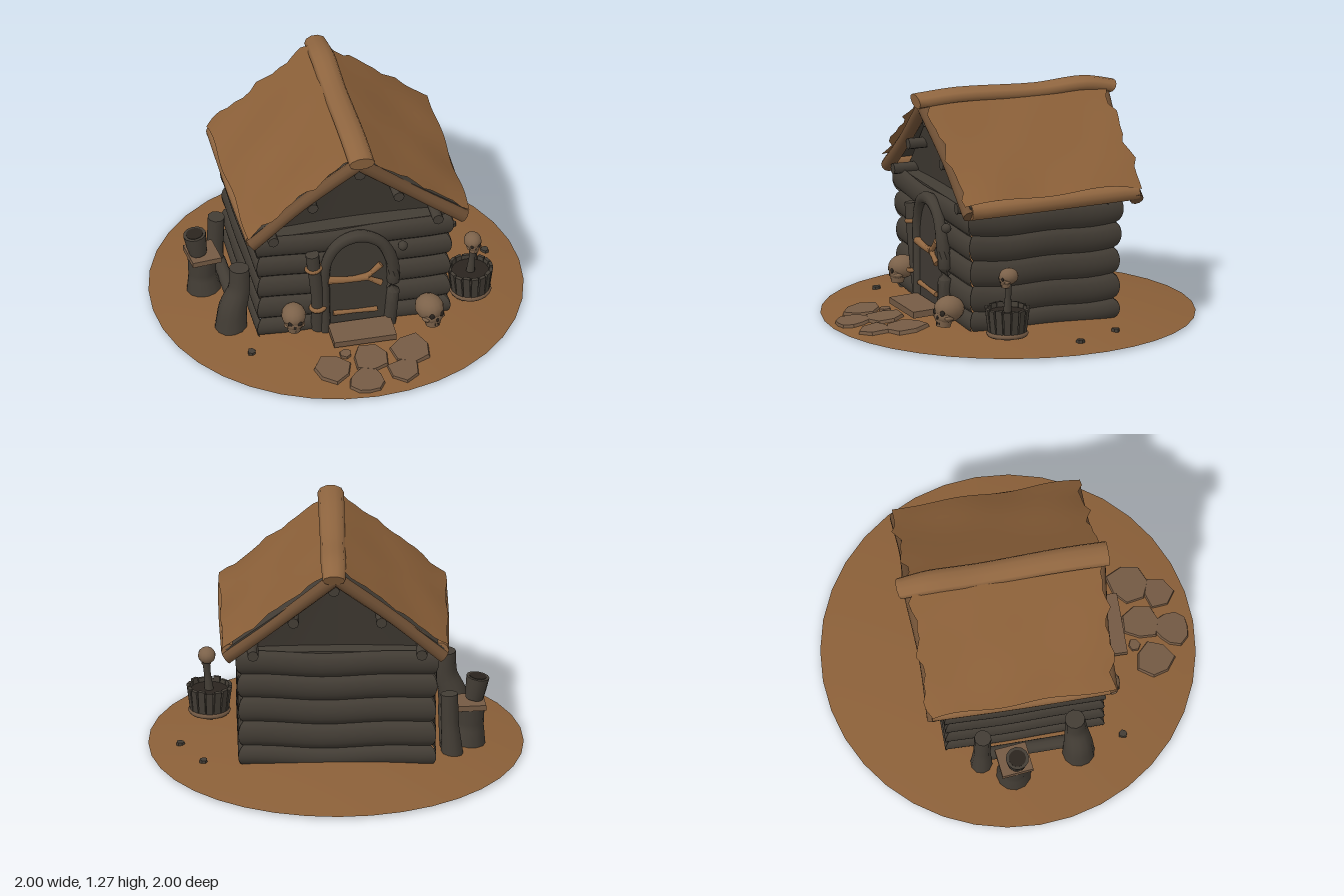
import * as THREE from 'three';
import { toCreasedNormals } from 'three/addons/utils/BufferGeometryUtils.js';

const paint = (name, color) => {
  const m = new THREE.MeshStandardMaterial({ color, side: THREE.DoubleSide });
  m.name = name;
  return m;
};
const V = (x, y, z) => new THREE.Vector3(x, y, z);

export function createModel() {
  const root = new THREE.Group();
  root.name = 'hut';
  const earth = paint('earth and hide', 0x8a5f38);
  const beam = paint('light timber', 0x906640);
  const pole = paint('roof pole', 0x6e4f34);
  const wood = paint('dark timber', 0x433d35);
  const plank = paint('door planks', 0x3f3a33);
  const stone = paint('stone', 0x745a44);
  const bone = paint('bone', 0x7c624a);
  const hollow = paint('hollow', 0x2a241e);

  const add = (name, geo, mat, pos = [0, 0, 0], parent = root) => {
    const m = new THREE.Mesh(geo, mat);
    m.name = name;
    m.position.set(...pos);
    parent.add(m);
    return m;
  };
  // Smooth grid surface from a rule f(u, v) -> Vector3
  const sheet = (nu, nv, f) => {
    const p = [], idx = [];
    for (let j = 0; j <= nv; j++)
      for (let i = 0; i <= nu; i++) p.push(...f(i / nu, j / nv).toArray());
    for (let j = 0; j < nv; j++)
      for (let i = 0; i < nu; i++) {
        const a = j * (nu + 1) + i, b = a + 1, c = a + nu + 1, d = c + 1;
        idx.push(a, c, b, b, c, d);
      }
    const g = new THREE.BufferGeometry();
    g.setAttribute('position', new THREE.Float32BufferAttribute(p, 3));
    g.setIndex(idx);
    g.computeVertexNormals();
    return g;
  };
  // Tapered, capped limb along a curve
  const limb = (pts, radii, sides = 10, steps = 12) => {
    const curve = new THREE.CatmullRomCurve3(pts.map((p) => V(...p)));
    const q = new THREE.Quaternion();
    const g = sheet(sides, steps + 2, (u, v) => {
      const k = Math.round(v * (steps + 2));
      const t = Math.min(1, Math.max(0, (k - 1) / steps));
      const s = t * (radii.length - 1), i = Math.min(radii.length - 2, Math.floor(s));
      const r = k === 0 || k === steps + 2 ? 0 : THREE.MathUtils.lerp(radii[i], radii[i + 1], s - i);
      q.setFromUnitVectors(V(0, 1, 0), curve.getTangent(t));
      const a = u * Math.PI * 2;
      return V(Math.cos(a) * r, 0, Math.sin(a) * r).applyQuaternion(q).add(curve.getPoint(t));
    });
    return toCreasedNormals(g, 0.9);
  };
  // Slab cut from an outline of [x, y] points
  const prism = (pts, depth) =>
    new THREE.ExtrudeGeometry(new THREE.Shape(pts.map((p) => new THREE.Vector2(...p))), { depth, bevelEnabled: false });

  // Domed ground with an opening beneath the hut
  const rise = (r) => 0.085 * (1 - Math.pow(Math.min(1, r), 1.9));
  add('ground', sheet(36, 10, (u, v) => {
    const a = u * Math.PI * 2, c = Math.cos(a), s = Math.sin(a);
    const inner = Math.min(0.48 / Math.max(1e-6, Math.abs(c)), 0.39 / Math.max(1e-6, Math.abs(s)));
    const r = THREE.MathUtils.lerp(inner, 1, v);
    return V(c * r, rise(r), s * r);
  }), earth);
  const lining = new THREE.ConeGeometry(0.665, 0.5, 4, 1, true);
  lining.rotateY(Math.PI / 4);
  add('innerLining', toCreasedNormals(lining, 0.3), earth, [0, 0.32, 0]).scale.z = 0.82;

  // Log walls: four gently bulging faces for every course
  const seams = [0.04, 0.15, 0.29, 0.43, 0.57, 0.71];
  for (let k = 0; k < 5; k++)
    for (let w = 0; w < 4; w++)
      add('wallLog', sheet(12, 8, (u, v) => {
        const y = THREE.MathUtils.lerp(seams[k], seams[k + 1], v);
        const off = 0.03 * Math.pow(Math.max(0, Math.sin(Math.PI * v)), 0.6) + 0.02 * Math.max(0, y - 0.4) / 0.3;
        const hx = 0.5 + off * 0.9, hz = 0.4 + off, t = 2 * u - 1;
        const sag = 0.012 * (t * t - 0.6) + 0.006 * Math.sin(5 * t + 2 * w);
        const sgn = w < 2 ? 1 : -1;
        return w % 2 ? V(sgn * hx, y + sag, t * hz) : V(t * hx, y + sag, sgn * hz);
      }), wood);
  add('wallPlate', new THREE.BoxGeometry(1.02, 0.03, 0.83), wood, [0, 0.69, 0]);

  // Recessed gables, leaning out a little towards the ridge
  for (const s of [-1, 1])
    add('gable', sheet(10, 8, (u, v) => {
      const t = 2 * u - 1;
      return V(t * 0.56 * (1 - v), 0.69 + 0.48 * v, s * (0.35 + 0.09 * v - 0.03 * (1 - t * t) * (1 - v)));
    }), wood);

  // Roof: boards, rafters, eave logs and a ragged hide
  for (const s of [-1, 1]) {
    const ex = s > 0 ? 0.6 : 0.575;
    add('roofBoards', prism([[0, 1.2], [s * ex, 0.76], [s * ex, 0.72], [0, 1.15]], 0.97), wood, [0, 0, -0.51]);
    for (const [z, d] of [[0.46, 0.03], [-0.5, -0.03]])
      add('rafter', limb([[0.01, 1.18, z + d], [s * 0.3, 0.935, z], [s * (ex - 0.005), 0.71, z]], [0.038, 0.035, 0.037]), pole);
    add('eaveLog', limb([[s * (ex - 0.025), 0.73, 0.45], [s * (ex - 0.02), 0.74, 0], [s * (ex - 0.025), 0.75, -0.51]], [0.046, 0.046, 0.044]), beam);
    add('hideRoof', sheet(28, 14, (u, v) => {
      const edge = Math.pow(Math.abs(2 * u - 1), 6);
      const rag = 0.014 * Math.sin(v * 17 + s + 4 * u) + 0.01 * Math.sin(v * 31 + u * 2);
      const z = THREE.MathUtils.lerp(0.5 - 0.02 * v, -0.53, u) + edge * rag * Math.sign(u - 0.5);
      const x = s * THREE.MathUtils.lerp(0.03, ex + 0.015 + 0.006 * Math.sin(u * 13), v);
      const wave = v * (0.007 * Math.sin(u * 11 + v * 5 + s) + 0.006 * Math.sin(u * 5 - v * 9));
      return V(x, 1.225 - 0.435 * v + wave - 0.015 * edge * v, z);
    }), earth);
    // Purlin ends beneath the slope
    for (const [x, y] of [[0.235, 0.91], [0.45, 0.72]])
      add('purlin', limb([[s * x, y, 0.48], [s * x, y, -0.51]], [0.03, 0.03], 8, 1), wood);
  }
  add('ridgePurlin', limb([[0.02, 1.1, 0.49], [0.02, 1.1, -0.52]], [0.032, 0.032], 8, 1), wood);
  const ridge = limb([[0, 0, 0.54], [0, 0.022, 0.3], [0, -0.008, -0.15], [0, 0.012, -0.42], [0, -0.04, -0.585]],
    [0.07, 0.07, 0.066, 0.068, 0.06], 10, 20);
  add('ridgeBeam', ridge, beam, [0.02, 1.213, 0]).scale.set(1, 0.58, 1);

  // Arched door with bent frame
  const arch = new THREE.Shape();
  arch.moveTo(-0.15, 0.07);
  arch.lineTo(-0.15, 0.48);
  arch.bezierCurveTo(-0.13, 0.7, 0.17, 0.7, 0.19, 0.48);
  arch.lineTo(0.16, 0.07);
  add('door', new THREE.ExtrudeGeometry(arch, { depth: 0.06, bevelEnabled: false }), plank, [0, 0, 0.39]);
  add('doorFrame', limb([[-0.16, 0.06, 0.45], [-0.165, 0.3, 0.45], [-0.155, 0.52, 0.455], [-0.09, 0.635, 0.46],
    [0.02, 0.67, 0.46], [0.13, 0.62, 0.46], [0.195, 0.5, 0.46], [0.21, 0.32, 0.45], [0.19, 0.06, 0.45]],
    [0.03, 0.028, 0.032, 0.035, 0.032, 0.036, 0.036], 8, 30), wood);
  const boneBar = (name, pts, r) => add(name, limb(pts, [r * 1.3, r, r * 1.3], 7, 6), beam);
  boneBar('doorLatch', [[-0.15, 0.4, 0.46], [-0.02, 0.39, 0.465], [0.07, 0.395, 0.465]], 0.017);
  boneBar('latchForkUpper', [[0.05, 0.39, 0.465], [0.09, 0.42, 0.465], [0.14, 0.465, 0.465]], 0.014);
  boneBar('latchForkLower', [[0.05, 0.4, 0.465], [0.09, 0.37, 0.465], [0.14, 0.34, 0.465]], 0.014);
  boneBar('lowerHinge', [[-0.12, 0.175, 0.46], [0, 0.17, 0.46], [0.12, 0.165, 0.46]], 0.011);
  add('doorstep', new THREE.BoxGeometry(0.34, 0.035, 0.16), stone, [0.02, 0.088, 0.54]).rotation.x = 0.06;
  add('wallPeg', new THREE.SphereGeometry(0.027, 10, 8), wood, [0.26, 0.565, 0.46]);

  // Post beside the door, bound with two straps
  add('doorPost', limb([[-0.19, 0.06, 0.42], [-0.205, 0.3, 0.45], [-0.235, 0.59, 0.46]], [0.042, 0.034, 0.037]), wood);
  for (const [x, y] of [[-0.225, 0.49], [-0.2, 0.225]]) {
    const strap = add('postStrap', new THREE.TorusGeometry(0.038, 0.013, 6, 14), beam, [x, y, 0.45]);
    strap.rotation.set(Math.PI / 2, 0.15, 0);
  }

  // Skulls, modelled facing the front
  const skull = (name, pos, r, ry, rx = 0) => {
    const g = new THREE.Group();
    g.name = name;
    g.position.set(...pos);
    g.rotation.set(rx, ry, 0);
    g.scale.setScalar(r);
    root.add(g);
    const ball = (n, mat, p, s) => add(n, new THREE.SphereGeometry(1, 14, 10), mat, p, g).scale.set(...s);
    ball('cranium', bone, [0, 0.15, -0.15], [1, 0.95, 1.15]);
    ball('face', bone, [0, -0.3, 0.35], [0.8, 0.6, 0.6]);
    add('jaw', new THREE.CylinderGeometry(0.64, 0.52, 0.6, 12), bone, [0, -0.8, 0.25], g);
    for (const s of [-1, 1]) {
      ball('eyeSocket', hollow, [s * 0.36, -0.06, 0.82], [0.24, 0.22, 0.13]);
      ball('cheek', bone, [s * 0.64, -0.4, 0.35], [0.22, 0.2, 0.4]);
    }
    ball('noseHole', hollow, [0, -0.42, 0.92], [0.11, 0.16, 0.06]);
    for (let i = -2; i <= 2; i++)
      add('toothGap', new THREE.BoxGeometry(0.03, 0.2, 0.02), hollow, [i * 0.13, -0.85, 0.84 - 0.035 * i * i], g);
  };
  skull('skullByPost', [-0.34, 0.2, 0.48], 0.066, -0.1);
  skull('skullByDoor', [0.4, 0.15, 0.51], 0.075, 0.35, -0.1);
  skull('skullOnStake', [0.685, 0.38, 0.28], 0.047, 0.1);

  // Bucket of staves holding a stake
  const [bx, bz] = [0.67, 0.275];
  add('bucketWall', new THREE.CylinderGeometry(0.112, 0.09, 0.15, 20, 1, true), wood, [bx, 0.13, bz]);
  add('bucketSoil', new THREE.CylinderGeometry(0.1, 0.1, 0.01, 16), hollow, [bx, 0.185, bz]);
  for (let i = 0; i < 16; i++) {
    const a = (i / 16) * Math.PI * 2, c = Math.cos(a), s = Math.sin(a);
    const stave = add('bucketStave', new THREE.BoxGeometry(0.036, 0.155, 0.018), wood,
      [bx + c * 0.102, 0.137 + 0.005 * Math.sin(i * 4), bz + s * 0.102]);
    stave.rotation.set(0.13, Math.PI / 2 - a, 0, 'YXZ');
  }
  const hoop = add('bucketHoop', new THREE.TorusGeometry(0.1, 0.014, 6, 20), stone, [bx, 0.072, bz]);
  hoop.rotation.x = Math.PI / 2;
  add('stake', limb([[0.67, 0.17, 0.275], [0.68, 0.27, 0.275], [0.687, 0.35, 0.275]], [0.026, 0.018, 0.02], 8), wood);

  // Stumps along the right wall
  add('bentTrunk', limb([[-0.635, 0.03, 0.27], [-0.625, 0.16, 0.27], [-0.59, 0.28, 0.265], [-0.588, 0.41, 0.26]], [0.088, 0.078, 0.06, 0.054], 12), wood);
  add('thinTrunk', limb([[-0.615, 0.03, -0.25], [-0.605, 0.2, -0.245], [-0.6, 0.38, -0.24]], [0.06, 0.046, 0.046], 10), wood);
  add('lowLog', limb([[-0.585, 0.085, -0.25], [-0.585, 0.085, 0.27]], [0.038, 0.038], 8, 1), wood);
  add('shortStump', limb([[-0.7, 0.03, -0.09], [-0.71, 0.14, -0.09], [-0.71, 0.25, -0.09]], [0.095, 0.075, 0.08], 12), wood);
  add('stumpTop', new THREE.BoxGeometry(0.16, 0.03, 0.17), stone, [-0.71, 0.262, -0.09]).rotation.y = 0.1;
  add('cup', limb([[-0.735, 0.285, -0.08], [-0.755, 0.41, -0.08]], [0.048, 0.062], 12, 2), wood);
  const mouth = add('cupMouth', new THREE.CylinderGeometry(0.046, 0.046, 0.004, 14), hollow, [-0.755, 0.411, -0.08]);
  mouth.rotation.z = 0.16;

  // Irregular path stones and pebbles
  const slab = (name, x, z, r, mat, n) => {
    const g = new THREE.CylinderGeometry(r * 0.9, r, 0.03, n);
    const p = g.attributes.position;
    for (let i = 0; i < p.count; i++) {
      const a = Math.atan2(p.getZ(i), p.getX(i)), k = 1 + 0.09 * Math.sin(3 * a + x * 20) + 0.05 * Math.cos(2 * a + z * 30);
      p.setXYZ(i, p.getX(i) * k, p.getY(i), p.getZ(i) * k);
    }
    add(name, toCreasedNormals(g, 0.4), mat, [x, rise(Math.hypot(x, z)), z]).rotation.x = 0.16 * z;
  };
  [[-0.19, 0.76, 0.108, 7], [0.025, 0.72, 0.108, 7], [0.25, 0.69, 0.118, 7], [-0.03, 0.88, 0.1, 10],
    [0.18, 0.84, 0.092, 6], [-0.1, 0.665, 0.035, 6]].forEach(([x, z, r, n]) => slab('pathStone', x, z, r, stone, n));
  [[0.71, -0.33], [0.83, -0.08], [-0.58, 0.52]].forEach(([x, z]) => slab('pebble', x, z, 0.024, wood, 7));

  return root;
}
